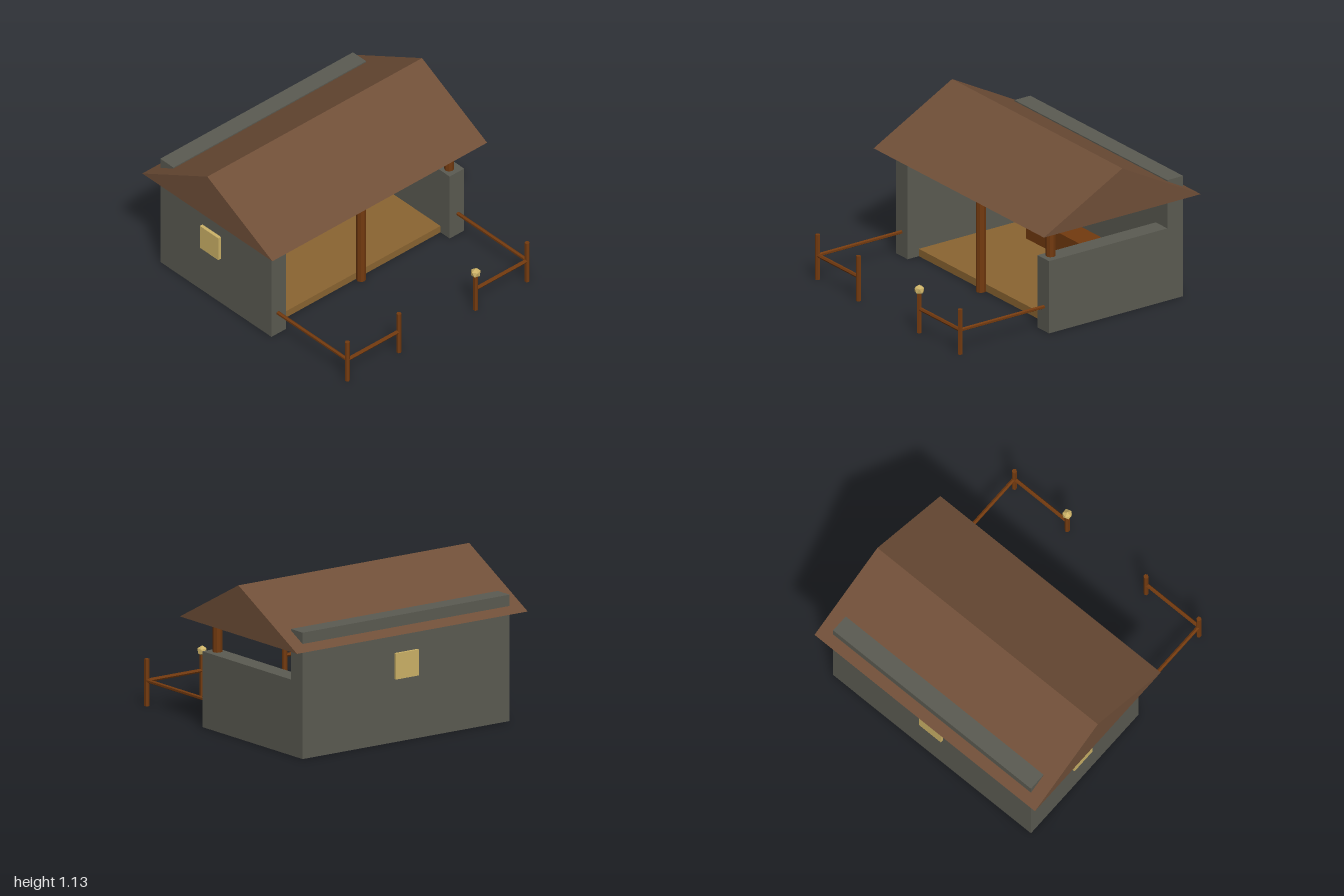
import * as THREE from 'three';

const mat = (name, color) => {
  const m = new THREE.MeshStandardMaterial({ color, flatShading: true });
  m.name = name;
  return m;
};

export function createModel() {
  const model = new THREE.Group();
  model.name = 'openStall';
  const stone = mat('greyStone', 0x5b5b52);
  const shingle = mat('brownRoof', 0x704f38);
  const timber = mat('darkTimber', 0x733a0f);
  const plank = mat('floorPlank', 0x8b6532);
  const glow = mat('warmGlow', 0xcdb368);

  const add = (name, geometry, material) => {
    const mesh = new THREE.Mesh(geometry, material);
    mesh.name = name;
    model.add(mesh);
    return mesh;
  };
  // Box given by its limits on each axis
  const box = (name, material, [x0, x1], [y0, y1], [z0, z1]) =>
    add(name, new THREE.BoxGeometry(x1 - x0, y1 - y0, z1 - z0), material)
      .position.set((x0 + x1) / 2, (y0 + y1) / 2, (z0 + z1) / 2);
  // Faceted pole between two points
  const pole = (name, a, b, radius, sides) => {
    const from = new THREE.Vector3(...a), to = new THREE.Vector3(...b);
    const dir = to.clone().sub(from);
    const mesh = add(name, new THREE.CylinderGeometry(radius, radius, dir.length(), sides), timber);
    mesh.position.copy(from).add(to).multiplyScalar(0.5);
    mesh.quaternion.setFromUnitVectors(new THREE.Vector3(0, 1, 0), dir.normalize());
  };
  // Faceted lantern with one corner pointing up
  const lantern = (name, x, y, z) => {
    const geometry = new THREE.IcosahedronGeometry(0.038, 0).rotateZ(Math.atan(0.618));
    add(name, geometry, glow).position.set(x, y, z);
  };

  // Walls: tall back, full left side, low right side
  box('backWall', stone, [-0.9, 0.895], [0, 0.9], [-0.91, -0.775]);
  box('tallSideWall', stone, [-0.9, -0.765], [0, 0.79], [-0.775, 0.235]);
  box('lowSideWall', stone, [0.76, 0.895], [0, 0.54], [-0.775, 0.235]);

  // Floor and counter
  box('floor', plank, [-0.765, 0.76], [0, 0.055], [-0.775, 0.14]);
  box('counter', timber, [-0.48, 0.475], [0.055, 0.225], [-0.76, -0.57]);

  // Gabled roof, a solid triangular prism along x
  const gable = new THREE.Shape([
    new THREE.Vector2(-0.355, 0.78), new THREE.Vector2(0.985, 0.78), new THREE.Vector2(0.315, 1.135),
  ]);
  const roof = new THREE.ExtrudeGeometry(gable, { depth: 2, bevelEnabled: false });
  add('roof', roof.rotateY(Math.PI / 2).translate(-1, 0, 0), shingle);

  // Roof posts
  pole('centrePost', [-0.002, 0, 0.165], [-0.002, 0.79, 0.165], 0.035, 8);
  pole('sidePost', [0.818, 0.5, 0.165], [0.818, 0.79, 0.165], 0.035, 8);

  // Windows
  box('backWindow', glow, [-0.1, 0.1], [0.45, 0.635], [-0.93, -0.9]);
  box('sideWindow', glow, [-0.925, -0.89], [0.385, 0.575], [-0.475, -0.285]);

  // Front fence, mirrored on both sides
  for (const s of [-1, 1]) {
    const outer = s * 0.8375 - 0.0025, inner = s * 0.3575 - 0.0025, z = 0.95;
    for (const x of [outer, inner]) pole('fencePost', [x, 0, z], [x, 0.335, z], 0.018, 6);
    pole('frontRail', [outer, 0.18, z], [inner, 0.18, z], 0.014, 6);
    pole('sideRail', [outer, 0.18, z], [outer, 0.18, 0.2], 0.014, 6);
  }

  // Lanterns
  lantern('fenceLantern', 0.355, 0.32, 0.95);
  lantern('hangingLantern', -0.24, 0.69, -0.27);

  return model;
}
